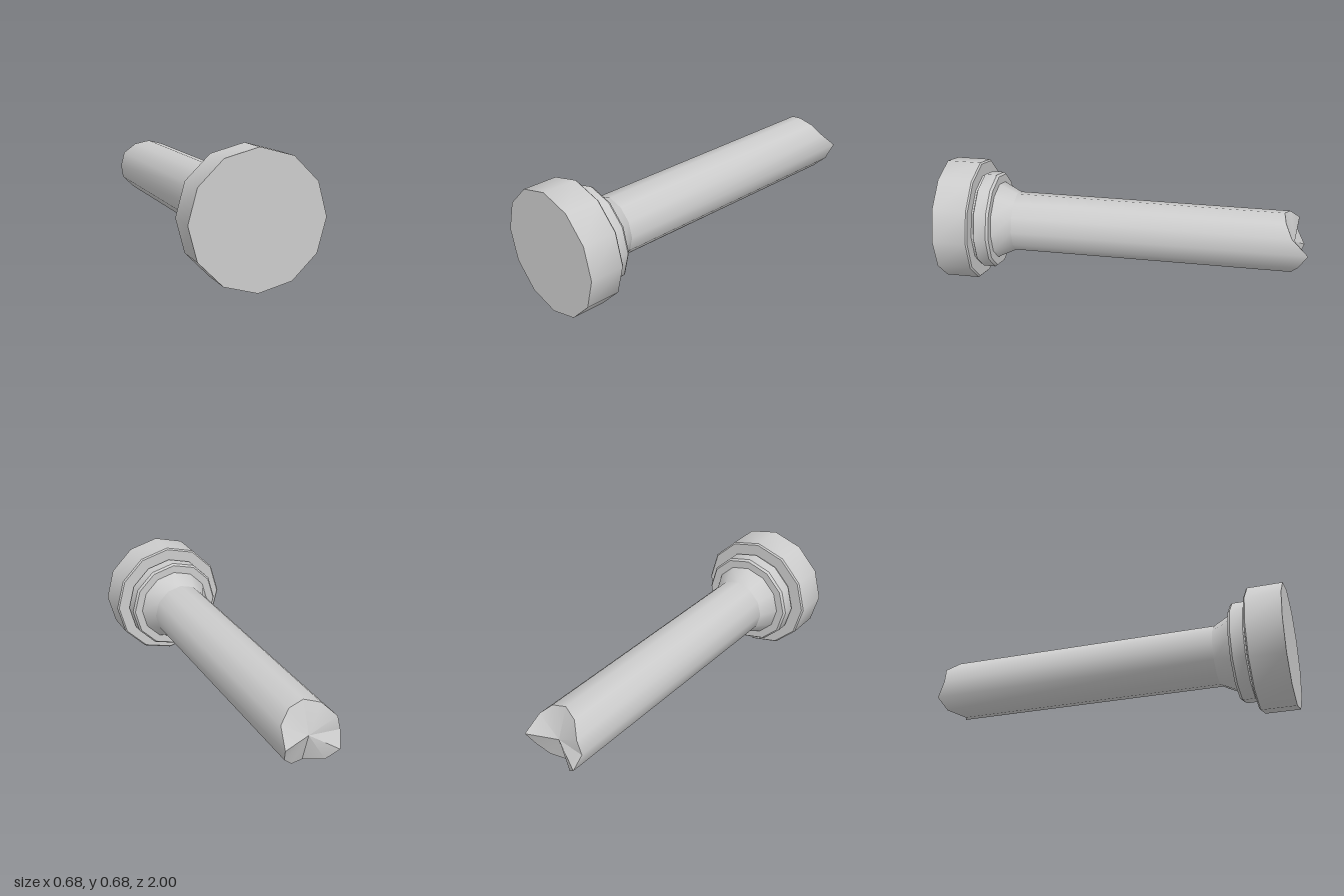
import * as THREE from 'three';
import { toCreasedNormals } from 'three/addons/utils/BufferGeometryUtils.js';

const SIDES = 12;
const AXIS_Y = 0.338;
const CREASE = 0.6; // keeps the twelve sides smooth, rims sharp

export function createModel() {
  const group = new THREE.Group();
  const material = new THREE.MeshStandardMaterial({ color: 0xcccccc });

  const add = (name, geometry) => {
    const mesh = new THREE.Mesh(toCreasedNormals(geometry, CREASE), material);
    mesh.name = name;
    mesh.position.y = AXIS_Y;
    group.add(mesh);
  };

  // Turned part along z; profile is [radius, z] from back to front
  const turned = (name, profile) => {
    const points = profile.map(([r, z]) => new THREE.Vector2(r, z));
    add(name, new THREE.LatheGeometry(points, SIDES).rotateX(Math.PI / 2));
  };

  turned('head', [[0.24, 0.805], [0.33, 0.805], [0.338, 0.813], [0.338, 1], [0, 1]]);
  turned('collar', [[0.2, 0.71], [0.26, 0.71], [0.27, 0.723], [0.27, 0.79], [0.26, 0.795], [0.26, 0.806]]);
  turned('neck', [[0.165, 0.61], [0.216, 0.712]]);

  // Shaft with an uneven, notched end: one end depth per side, from +x over the top
  const tipZ = [-1, -0.91, -0.875, -0.865, -0.895, -0.95, -0.945, -0.99, -0.955, -0.88, -0.92, -0.955];
  const positions = [];
  const index = [];
  const centre = SIDES * 2;
  tipZ.forEach((z, i) => {
    const a = (i / SIDES) * Math.PI * 2;
    const x = 0.165 * Math.cos(a), y = 0.165 * Math.sin(a);
    positions.push(x, y, 0.61, x, y, z);
    const front = i * 2, back = front + 1;
    const nextFront = ((i + 1) % SIDES) * 2, nextBack = nextFront + 1;
    index.push(front, back, nextBack, front, nextBack, nextFront); // side
    index.push(centre, nextBack, back); // end face
  });
  positions.push(0, 0, -0.93);
  const shaft = new THREE.BufferGeometry();
  shaft.setAttribute('position', new THREE.Float32BufferAttribute(positions, 3));
  shaft.setIndex(index);
  add('shaft', shaft);

  return group;
}
